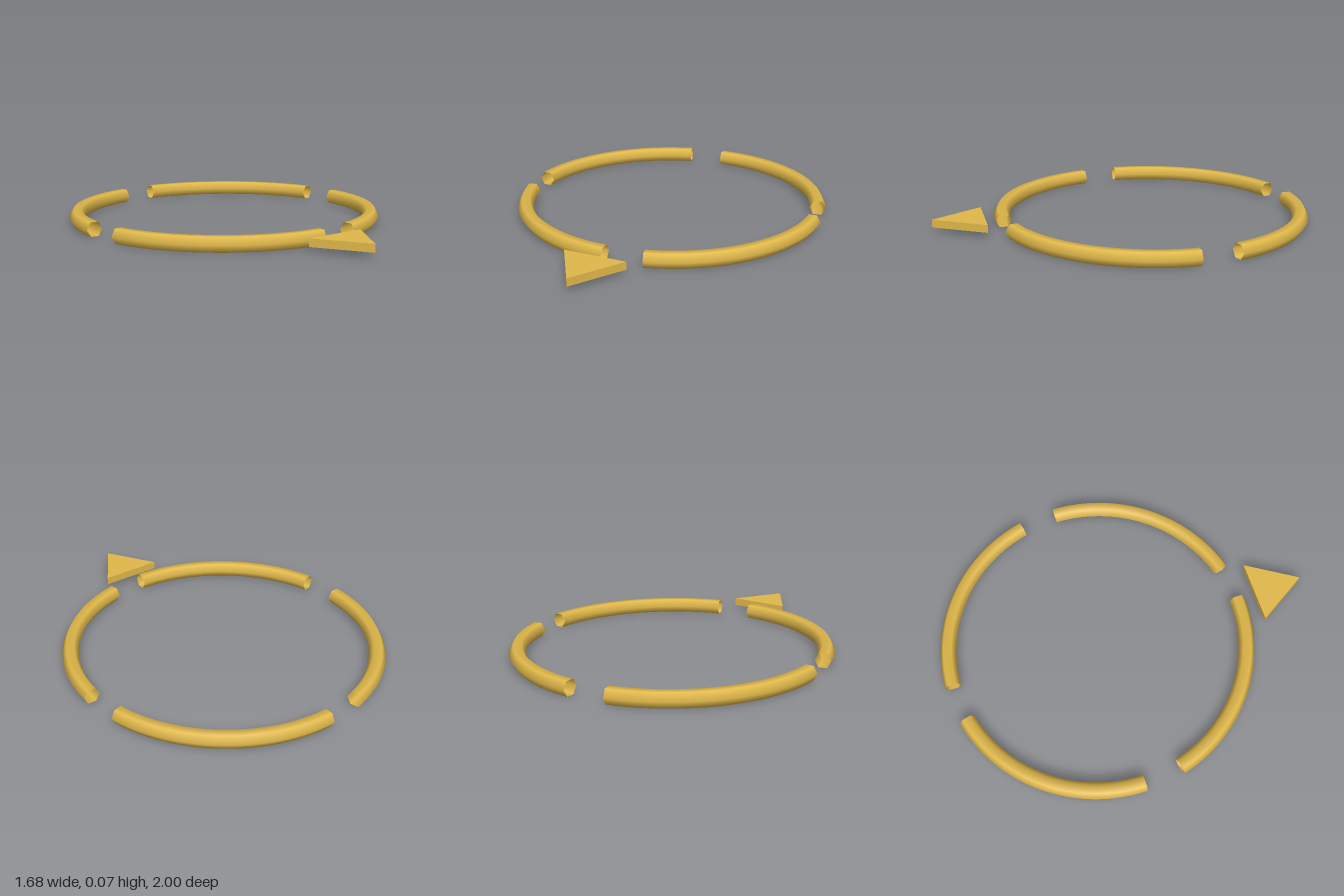
import * as THREE from 'three';

const RING_RADIUS = 0.797;
const TUBE_RADIUS = 0.043;
const RING_Y = TUBE_RADIUS * Math.sin(Math.PI / 3);
const RING_Z = -0.16;
const ARC = 1.322;

export function createModel() {
  const model = new THREE.Group();
  model.name = 'directionRing';
  const gold = new THREE.MeshStandardMaterial({ color: 0xe0b84a, side: THREE.DoubleSide });

  // Four open six-sided tube arcs, each a quarter turn from the last
  const ring = new THREE.Group();
  ring.name = 'ring';
  ring.position.set(0, RING_Y, RING_Z);
  const arcGeometry = new THREE.TorusGeometry(RING_RADIUS, TUBE_RADIUS, 6, 32, ARC);
  arcGeometry.rotateX(Math.PI / 2);
  for (let i = 0; i < 4; i++) {
    const arc = new THREE.Mesh(arcGeometry, gold);
    arc.name = `ringArc${i + 1}`;
    arc.rotation.y = -i * Math.PI / 2;
    ring.add(arc);
  }
  model.add(ring);

  // Flat triangular pointer facing forward
  const triangle = new THREE.Shape([
    new THREE.Vector2(-0.164, 0.736),
    new THREE.Vector2(0.164, 0.736),
    new THREE.Vector2(0, 1),
  ]);
  const pointerGeometry = new THREE.ExtrudeGeometry(triangle, { depth: 0.041, bevelEnabled: false });
  pointerGeometry.rotateX(Math.PI / 2);
  const pointer = new THREE.Mesh(pointerGeometry, gold);
  pointer.name = 'pointer';
  pointer.position.y = 0.068;
  model.add(pointer);

  return model;
}
